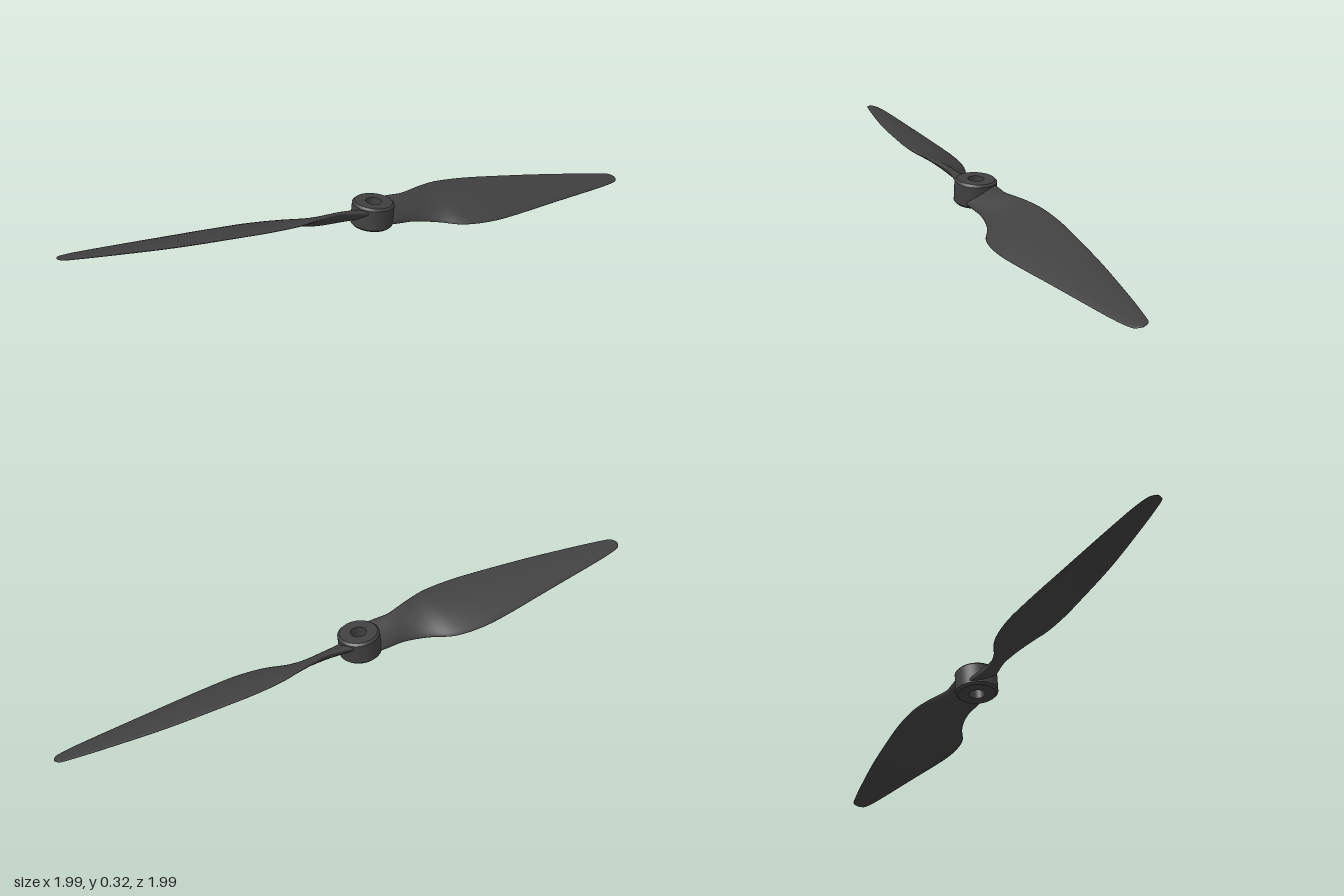
import * as THREE from 'three';
import { toCreasedNormals, mergeVertices } from 'three/addons/utils/BufferGeometryUtils.js';

// Blade stations: distance from axis, trailing edge, leading edge, pitch (degrees), thickness
const STATIONS = [
  [0.055, -0.072, 0.070, 26, 0.045],
  [0.12, -0.064, 0.061, 34, 0.042],
  [0.18, -0.060, 0.055, 39, 0.038],
  [0.25, -0.077, 0.063, 37, 0.034],
  [0.32, -0.098, 0.087, 31, 0.031],
  [0.42, -0.121, 0.138, 23, 0.029],
  [0.55, -0.128, 0.155, 19.5, 0.027],
  [0.70, -0.121, 0.143, 18, 0.025],
  [0.95, -0.101, 0.107, 15.5, 0.021],
  [1.20, -0.067, 0.071, 13.5, 0.015],
  [1.32, -0.047, 0.051, 12, 0.011],
  [1.38, -0.034, 0.034, 11, 0.008],
  [1.396, -0.019, 0.019, 11, 0.006],
  [1.402, -0.003, 0.003, 11, 0.003],
];

// Twisted blade lofted along +x from cambered aerofoil sections
function bladeGeometry() {
  const rings = 78, half = 14, count = half * 2;
  const curve = (pick) => new THREE.CatmullRomCurve3(
    STATIONS.map((s) => new THREE.Vector3(...pick(s))), false, 'catmullrom', 0.5);
  const outline = curve((s) => [s[0], s[1], s[2]]);
  const section = curve((s) => [s[3], s[4], 0]);
  const positions = [], index = [];

  for (let i = 0; i <= rings; i++) {
    const o = outline.getPoint(i / rings), p = section.getPoint(i / rings);
    const pitch = THREE.MathUtils.degToRad(p.x);
    const mid = (o.y + o.z) / 2, reach = (o.z - o.y) / 2;
    const camber = 0.035 * reach * 2 * Math.min(1, Math.max(0, (o.x - 0.1) / 0.3));
    for (let j = 0; j < count; j++) {
      const a = (j / count) * Math.PI * 2;
      const c = Math.cos(a);
      const lift = Math.sin(a) * p.y / 2 + camber * (0.5 - c * c);
      positions.push(
        o.x,
        -Math.tan(pitch) * reach * c + lift * Math.cos(pitch),
        mid + reach * c + lift * Math.sin(pitch));
    }
  }
  for (let i = 0; i < rings; i++) {
    for (let j = 0; j < count; j++) {
      const a = i * count + j, b = i * count + (j + 1) % count;
      index.push(a, a + count, b, b, a + count, b + count);
    }
  }
  // Caps at root and tip
  const tip = rings * count;
  for (let j = 1; j < count - 1; j++) {
    index.push(0, j, j + 1, tip, tip + j + 1, tip + j);
  }
  const geometry = new THREE.BufferGeometry();
  geometry.setAttribute('position', new THREE.Float32BufferAttribute(positions, 3));
  geometry.setIndex(index);
  // Make sure faces point outward: the signed volume must be positive
  const v = (k) => new THREE.Vector3().fromArray(positions, index[k] * 3);
  let volume = 0;
  for (let k = 0; k < index.length; k += 3) volume += v(k).dot(v(k + 1).cross(v(k + 2)));
  if (volume < 0) geometry.setIndex(index.reverse());
  geometry.computeVertexNormals();
  return geometry;
}

// Chamfered ring with a through bore
function hubGeometry() {
  const bore = 0.036, radius = 0.095, h = 0.056, bevel = 0.01;
  const profile = [
    [bore, -h], [radius - bevel, -h], [radius, -h + bevel],
    [radius, h - bevel], [radius - bevel, h], [bore, h], [bore, -h],
  ].map(([x, y]) => new THREE.Vector2(x, y));
  const lathe = new THREE.LatheGeometry(profile, 48);
  lathe.deleteAttribute('normal');
  lathe.deleteAttribute('uv');
  return toCreasedNormals(mergeVertices(lathe), 0.5);
}

export function createModel() {
  const material = new THREE.MeshStandardMaterial({ color: 0x404040 });
  const propeller = new THREE.Group();
  propeller.name = 'propeller';

  const hub = new THREE.Mesh(hubGeometry(), material);
  hub.name = 'hub';
  propeller.add(hub);

  // Two identical blades, half a turn apart
  const blade = bladeGeometry();
  ['lowerBlade', 'upperBlade'].forEach((name, i) => {
    const mesh = new THREE.Mesh(blade, material);
    mesh.name = name;
    mesh.rotation.y = i * Math.PI;
    propeller.add(mesh);
  });

  // Turned to the diagonal, with the axis leaning slightly
  propeller.rotation.set(0, Math.PI / 4, -0.109);
  propeller.position.y = 0.157;

  const model = new THREE.Group();
  model.add(propeller);
  return model;
}
